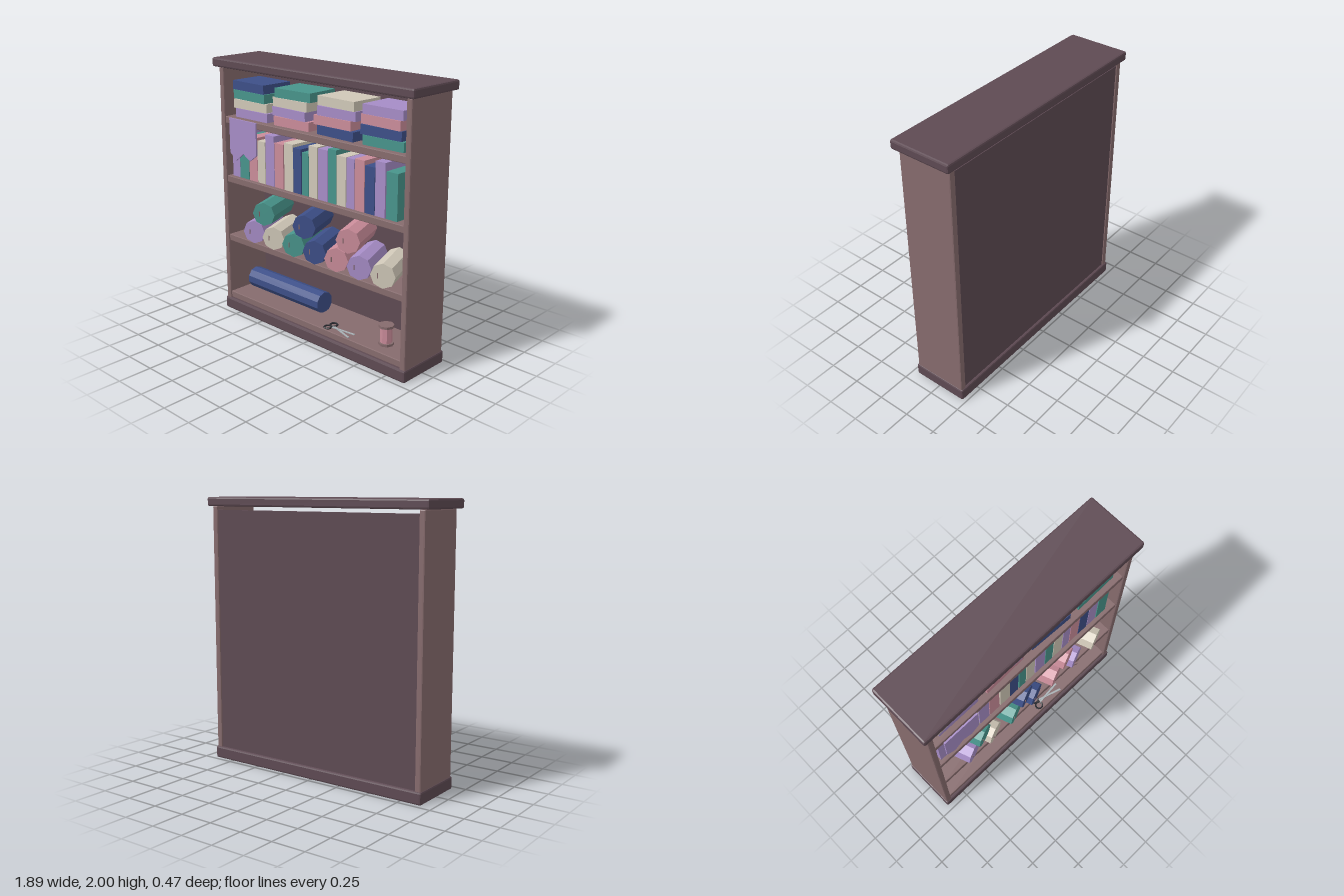
import * as THREE from 'three';
import { RoundedBoxGeometry } from 'three/addons/geometries/RoundedBoxGeometry.js';

const COLORS = {
  dark: 0x5e4a53, wood: 0x866b6d,
  purple: 0xa68cc6, teal: 0x48948b, cream: 0xd0c8b8, pink: 0xca8c9a, blue: 0x3d4f88,
  iron: 0x2a2a30, steel: 0xa8b0b4,
};

const materials = {};
for (const key in COLORS) {
  materials[key] = new THREE.MeshStandardMaterial({ color: COLORS[key], flatShading: true });
}

export function createModel() {
  const root = new THREE.Group();
  root.name = 'fabricShelf';

  function group(name) {
    const g = new THREE.Group();
    g.name = name;
    root.add(g);
    return g;
  }
  function add(parent, name, geometry, color, x, y, z) {
    const mesh = new THREE.Mesh(geometry, materials[color]);
    mesh.name = name;
    mesh.position.set(x, y, z);
    parent.add(mesh);
    return mesh;
  }
  // Box given by its limits, with optional chamfered edges
  function block(parent, name, color, [x0, x1], [y0, y1], [z0, z1], chamfer = 0) {
    const size = [x1 - x0, y1 - y0, z1 - z0];
    const geometry = chamfer
      ? new RoundedBoxGeometry(...size, 1, chamfer)
      : new THREE.BoxGeometry(...size);
    return add(parent, name, geometry, color, (x0 + x1) / 2, (y0 + y1) / 2, (z0 + z1) / 2);
  }

  // Cabinet
  const cabinet = group('cabinet');
  block(cabinet, 'topSlab', 'dark', [-0.945, 0.945], [1.933, 2], [-0.235, 0.235], 0.013);
  block(cabinet, 'basePlinth', 'dark', [-0.915, 0.915], [0, 0.092], [-0.225, 0.21], 0.013);
  block(cabinet, 'backPanel', 'dark', [-0.865, 0.865], [0.08, 1.906], [-0.205, -0.18]);
  for (const s of [-1, 1]) {
    block(cabinet, s > 0 ? 'leftSide' : 'rightSide', 'wood',
      [s * 0.885 - 0.023, s * 0.885 + 0.023], [0.08, 1.935], [-0.215, 0.2], 0.01);
  }
  for (const top of [0.146, 0.627, 1.103, 1.563]) {
    block(cabinet, 'shelf', 'wood', [-0.865, 0.865], [top - 0.052, top], [-0.19, 0.19], 0.005);
  }

  // Folded cloth in four stacks: [centre x, color], bottom to top
  const stacks = [
    [[-0.62, 'purple'], [-0.637, 'cream'], [-0.641, 'teal'], [-0.647, 'blue']],
    [[-0.208, 'pink'], [-0.225, 'purple'], [-0.216, 'cream'], [-0.196, 'teal']],
    [[0.222, 'blue'], [0.188, 'pink'], [0.225, 'purple'], [0.226, 'cream']],
    [[0.635, 'teal'], [0.616, 'blue'], [0.62, 'pink'], [0.632, 'purple']],
  ];
  const folded = group('foldedClothStacks');
  stacks.forEach((stack, i) => stack.forEach(([x, color], j) => {
    const cloth = add(folded, 'foldedCloth', new THREE.BoxGeometry(0.34, 0.066, 0.26),
      color, x, 1.597 + j * 0.068, 0.02);
    cloth.rotation.y = 0.04 * Math.sin(i * 2.3 + j * 1.9);
  }));

  // Upright cloth row: [left x, right x, top y, color]
  const upright = [
    [-0.83, -0.75, 1.46, 'purple'], [-0.748, -0.65, 1.42, 'teal'], [-0.643, -0.553, 1.44, 'pink'],
    [-0.55, -0.47, 1.42, 'cream'], [-0.463, -0.373, 1.48, 'purple'], [-0.368, -0.278, 1.435, 'pink'],
    [-0.267, -0.178, 1.453, 'cream'], [-0.175, -0.098, 1.432, 'blue'], [-0.087, -0.024, 1.415, 'teal'],
    [-0.019, 0.061, 1.475, 'cream'], [0.071, 0.161, 1.47, 'purple'], [0.167, 0.24, 1.485, 'teal'],
    [0.246, 0.33, 1.453, 'cream'], [0.336, 0.405, 1.453, 'purple'], [0.41, 0.495, 1.46, 'pink'],
    [0.5, 0.585, 1.43, 'blue'], [0.59, 0.675, 1.478, 'purple'], [0.685, 0.78, 1.425, 'teal'],
  ];
  const row = group('uprightClothRow');
  for (const [x0, x1, y1, color] of upright) {
    block(row, 'uprightCloth', color, [x0, x1], [1.103, y1], [-0.08, 0.16]);
  }

  // Hanging cloth with a zigzag hem
  const hem = new THREE.Shape([
    [-0.8, 1.563], [-0.8, 1.3], [-0.733, 1.247], [-0.653, 1.31], [-0.58, 1.268], [-0.51, 1.32], [-0.51, 1.563],
  ].map(([x, y]) => new THREE.Vector2(x, y)));
  add(root, 'hangingCloth', new THREE.ExtrudeGeometry(hem, { depth: 0.012, bevelEnabled: false }),
    'purple', 0, 0, 0.198);

  // Slanted bolts of cloth, placed by the centre of the front end
  const bolts = group('clothBolts');
  const boltLength = 0.34, yaw = 0.36;
  function bolt(x, y, color) {
    const g = new THREE.Group();
    g.name = 'clothBolt';
    g.position.set(x, y, 0.195);
    g.rotation.y = yaw;
    const body = add(g, 'boltBody', new THREE.CylinderGeometry(0.09, 0.09, boltLength, 8),
      color, 0, 0, -boltLength / 2);
    body.rotation.x = Math.PI / 2;
    add(g, 'boltPin', new THREE.BoxGeometry(0.006, 0.036, 0.008), 'wood', -0.035, 0, 0.001);
    bolts.add(g);
  }
  ['purple', 'cream', 'teal', 'blue', 'pink', 'purple', 'cream']
    .forEach((color, i) => bolt(-0.57 + i * 0.2115, 0.714, color));
  ['teal', 'blue', 'pink'].forEach((color, i) => bolt(-0.46 + i * 0.422, 0.88, color));

  // Long roll lying on the bottom shelf
  const roll = add(root, 'longRoll', new THREE.CylinderGeometry(0.082, 0.082, 0.765, 10),
    'blue', -0.432, 0.222, -0.03);
  roll.rotation.set(Math.PI / 10, 0, Math.PI / 2);

  // Thread spool
  const spool = group('threadSpool');
  spool.position.set(0.63, 0.146, 0.06);
  add(spool, 'spoolThread', new THREE.CylinderGeometry(0.043, 0.043, 0.13, 8), 'pink', 0, 0.075, 0);
  for (const y of [0.009, 0.141]) {
    add(spool, 'spoolFlange', new THREE.CylinderGeometry(0.056, 0.056, 0.018, 8), 'wood', 0, y, 0);
  }

  // Scissors lying flat
  const scissors = group('scissors');
  scissors.position.set(0.24, 0.151, 0.13);
  scissors.rotation.y = -0.1;
  for (const s of [-1, 1]) {
    const half = new THREE.Group();
    half.name = 'scissorHalf';
    half.rotation.y = s * 0.2;
    const handle = add(half, 'scissorHandle', new THREE.TorusGeometry(0.028, 0.007, 5, 10),
      'iron', -0.085, 0, s * 0.012);
    handle.rotation.x = Math.PI / 2;
    add(half, 'scissorBlade', new THREE.BoxGeometry(0.2, 0.005, 0.014), 'steel', 0.045, s * 0.002, 0);
    scissors.add(half);
  }

  return root;
}
